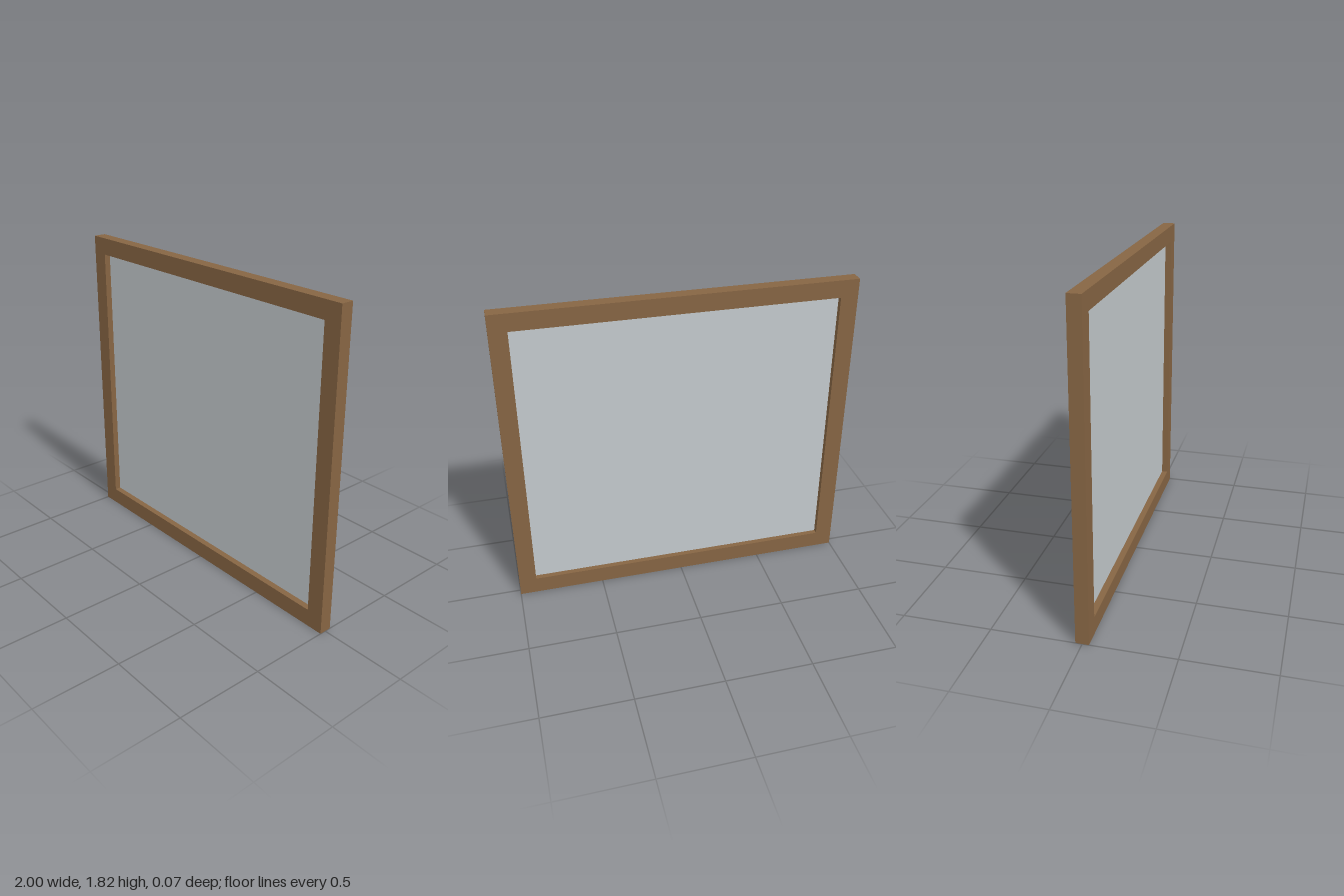
import * as THREE from 'three';

const WIDTH = 2, HEIGHT = 1.82, DEPTH = 0.073, BORDER = 0.1;

// Rectangle outline inset from the outer edge
function outline(path, inset) {
  const x = WIDTH / 2 - inset, top = HEIGHT - inset;
  path.moveTo(-x, inset);
  path.lineTo(x, inset);
  path.lineTo(x, top);
  path.lineTo(-x, top);
  path.closePath();
  return path;
}

export function createModel() {
  const wood = new THREE.MeshStandardMaterial({ color: 0x866543 });
  wood.name = 'brown wood';
  const glass = new THREE.MeshStandardMaterial({ color: 0xc3c9cc });
  glass.name = 'pale grey glass';

  const model = new THREE.Group();
  model.name = 'window';

  // Wooden surround with a rectangular opening
  const shape = outline(new THREE.Shape(), 0);
  shape.holes.push(outline(new THREE.Path(), BORDER));
  const frameGeometry = new THREE.ExtrudeGeometry(shape, { depth: DEPTH, bevelEnabled: false });
  frameGeometry.translate(0, 0, -DEPTH / 2);
  const frame = new THREE.Mesh(frameGeometry, wood);
  frame.name = 'frame';
  model.add(frame);

  // Thin pane filling the opening
  const pane = new THREE.Mesh(
    new THREE.BoxGeometry(WIDTH - 2 * BORDER, HEIGHT - 2 * BORDER, 0.006), glass);
  pane.name = 'pane';
  pane.position.set(0, HEIGHT / 2, -0.003);
  model.add(pane);

  return model;
}
